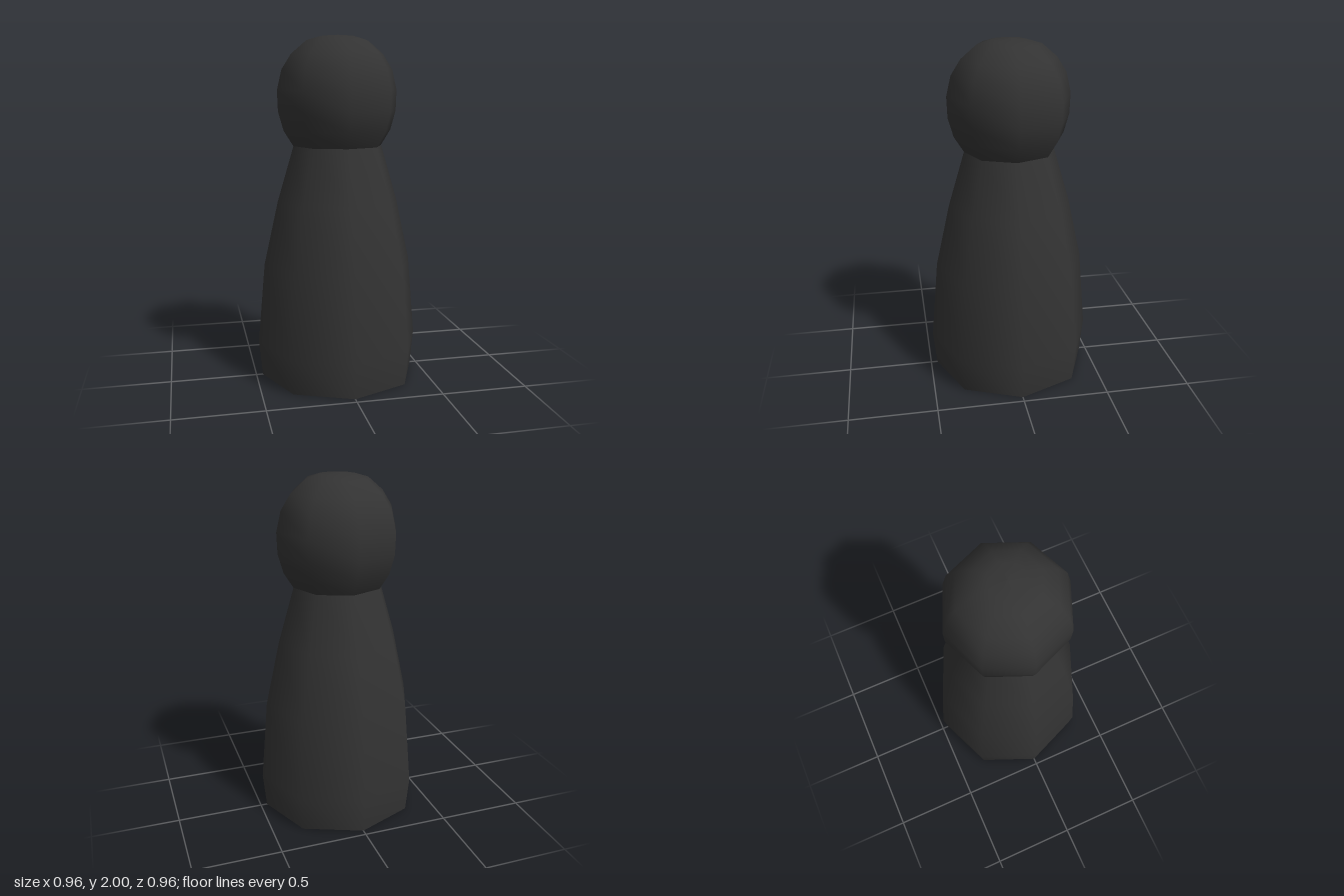
import * as THREE from 'three';

export function createModel() {
  const group = new THREE.Group();
  const charcoal = new THREE.MeshStandardMaterial({ color: 0x333333 });
  charcoal.name = 'charcoal';
  const SIDES = 8;

  function addPart(name, geometry) {
    const mesh = new THREE.Mesh(geometry, charcoal);
    mesh.name = name;
    group.add(mesh);
    return mesh;
  }

  // Eight-sided turned shape with smooth normals, profile from bottom to top
  const turned = (profile) =>
    new THREE.LatheGeometry(profile.map(([r, y]) => new THREE.Vector2(r, y)), SIDES);

  // Tapering body, widest just above the foot
  addPart('body', turned([
    [0.462, 0], [0.482, 0.205], [0.44, 0.68], [0.357, 1.05], [0.262, 1.37],
  ]));

  // Rounded head sitting on the neck
  addPart('head', turned([
    [0.262, 1.37], [0.318, 1.46], [0.349, 1.57], [0.353, 1.69], [0.326, 1.805],
    [0.27, 1.893], [0.182, 1.968], [0.1, 1.992], [0, 2],
  ]));

  // Flat underside
  addPart('base', new THREE.CircleGeometry(0.462, SIDES).rotateX(Math.PI / 2));

  return group;
}
